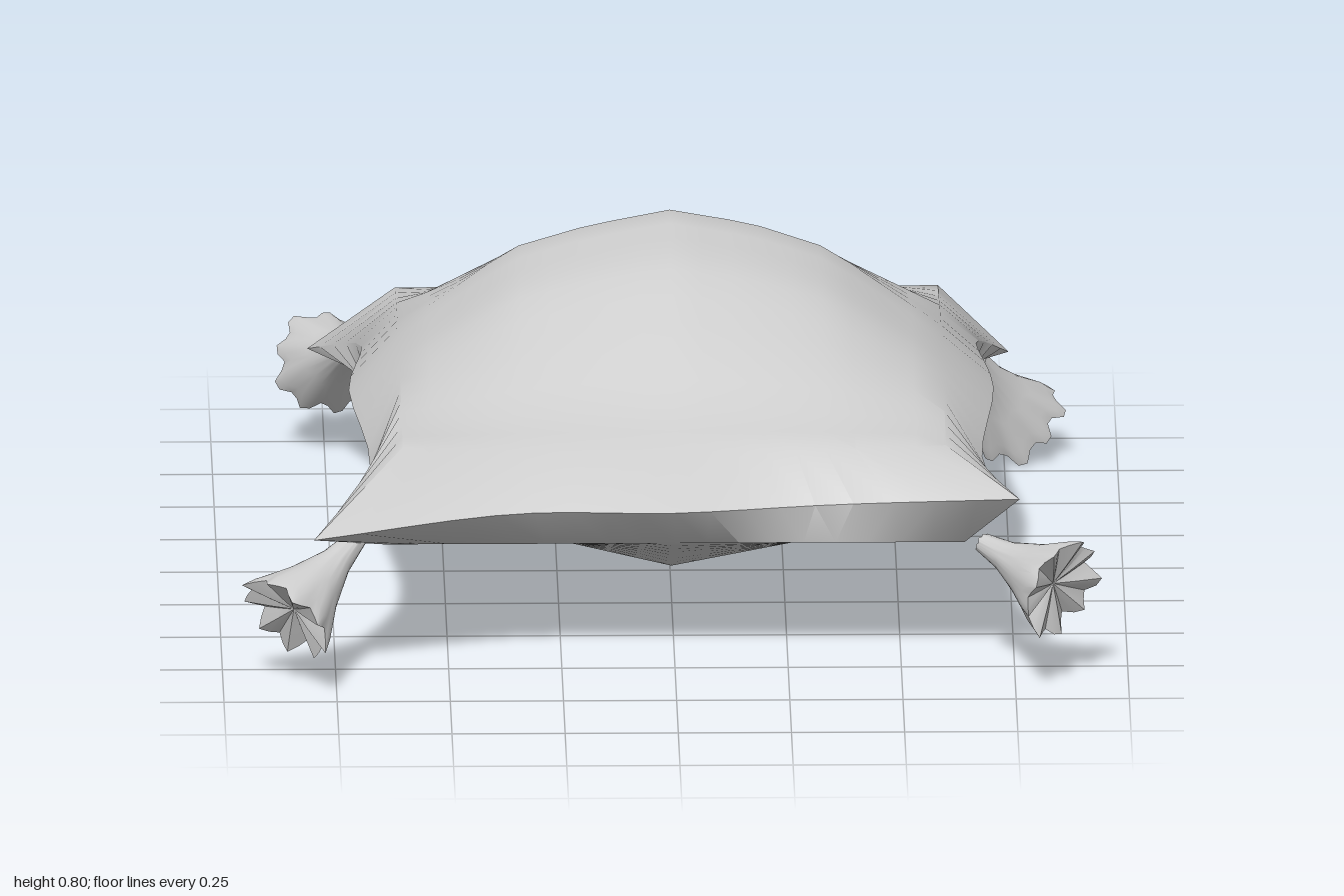
import * as THREE from 'three';
import { mergeGeometries, toCreasedNormals } from 'three/addons/utils/BufferGeometryUtils.js';

const N = 18;
const V = (x, y, z) => new THREE.Vector3(x, y, z);
const lookup = (at, values) => {
  const f = new THREE.LinearInterpolant(at, values, 1);
  return (t) => f.evaluate(t)[0];
};

// Puff of the cushion along x and z, for the top and the underside
const topX = lookup([-0.6, -0.35, -0.18, 0, 0.18, 0.35, 0.6], [0.16, 0.73, 0.89, 1, 0.9, 0.72, 0.16]);
const topZ = lookup([-0.57, -0.42, -0.3, -0.1, 0.15, 0.35, 0.53, 0.65], [0, 0.34, 0.7, 1, 0.87, 0.5, 0.1, -0.05]);
const lowX = lookup([-0.64, -0.35, 0, 0.34, 0.64], [0, 0.6, 1, 0.68, 0]);
const lowZ = lookup([-0.62, -0.3, -0.1, 0.17, 0.44, 0.72], [0, 0.92, 1, 1, 0.5, 0]);

function topPoint(u, v) {
  const x = 0.6 * u, z = 0.04 + 0.61 * v;
  return V(x, 0.485 + 0.32 * topX(x) * topZ(z), z);
}
function lowPoint(u, v) {
  const x = 0.64 * u, z = 0.05 + 0.67 * v;
  return V(x, 0.28 - 0.22 * lowX(x) * lowZ(z), z);
}

// Surface through a grid of points, rows by columns
function patch(rows, cols, point) {
  const pos = [], index = [];
  for (let i = 0; i <= rows; i++)
    for (let j = 0; j <= cols; j++) {
      pos.push(...point(i, j).toArray());
      if (i < rows && j < cols) {
        const a = i * (cols + 1) + j, b = a + cols + 1;
        index.push(a, b, b + 1, a, b + 1, a + 1);
      }
    }
  const g = new THREE.BufferGeometry();
  g.setAttribute('position', new THREE.Float32BufferAttribute(pos, 3));
  g.setIndex(index);
  return g;
}

// Pointed corner tips and the seam between them, running front, right, back, left
const FL = V(-0.8, 0.35, 0.92), FR = V(0.76, 0.42, 0.86);
const BR = V(0.76, 0.25, -0.84), BL = V(-0.79, 0.27, -0.82);
const seams = [
  [FL, V(-0.35, 0.37, 0.79), V(0, 0.37, 0.79), V(0.35, 0.37, 0.73), FR],
  [FR, V(0.685, 0.41, 0.55), V(0.715, 0.42, 0), V(0.685, 0.37, -0.52), BR],
  [BR, V(0.35, 0.36, -0.7), V(0, 0.37, -0.67), V(-0.35, 0.36, -0.7), BL],
  [BL, V(-0.68, 0.37, -0.52), V(-0.71, 0.42, 0), V(-0.675, 0.39, 0.57), FL],
].map((p) => new THREE.CatmullRomCurve3(p, false, 'centripetal'));
const edgeUV = [(t) => [t, 1], (t) => [1, -t], (t) => [-t, -1], (t) => [-1, t]];

function cushionGeometry() {
  const g = (k) => (2 * k) / N - 1;
  const parts = [
    patch(N, N, (i, j) => topPoint(g(j), g(i))),
    patch(N, N, (i, j) => lowPoint(g(j), -g(i))),
  ];
  // Side bands: top edge, seam, bottom edge
  seams.forEach((seam, k) => {
    parts.push(patch(2, N, (i, j) => {
      const uv = edgeUV[k](g(j));
      return i === 0 ? topPoint(...uv) : i === 1 ? seam.getPoint(j / N) : lowPoint(...uv);
    }));
  });
  return toCreasedNormals(mergeGeometries(parts), 0.75);
}

// Flared tassel with a pleated, closed end
function tasselGeometry(length, phase) {
  const profile = [[0, 0], [0.022, 0], [0.035, 0.3], [0.065, 0.62], [0.098, 0.88], [0.108, 1], [0.05, 0.95], [0, 0.9]];
  const g = new THREE.LatheGeometry(profile.map(([r, h]) => new THREE.Vector2(r, h * length)), 36);
  const p = g.attributes.position;
  for (let i = 0; i < p.count; i++) {
    const x = p.getX(i), y = p.getY(i), z = p.getZ(i);
    const a = Math.atan2(z, x), r = Math.hypot(x, z);
    const fold = Math.cos(9 * a + phase) + 0.5 * Math.cos(4 * a + 2 * phase);
    const s = 1 + 0.09 * fold * (y / length);
    p.setXYZ(i, x * s, y + 0.12 * r * fold, z * s);
  }
  g.deleteAttribute('normal');
  g.deleteAttribute('uv');
  return toCreasedNormals(g, 0.6);
}

export function createModel() {
  const model = new THREE.Group();
  model.name = 'tasselledCushion';
  const cloth = new THREE.MeshStandardMaterial({ color: 0xcccccc, side: THREE.DoubleSide });

  const cushion = new THREE.Mesh(cushionGeometry(), cloth);
  cushion.name = 'cushion';
  model.add(cushion);

  // Each tassel hangs outward from its corner
  const tassels = [
    ['frontRightTassel', V(-0.7, 0.31, 0.76), V(-0.86, 0.17, 0.91)],
    ['frontLeftTassel', V(0.68, 0.29, 0.76), V(0.85, 0.23, 0.91)],
    ['backRightTassel', V(-0.69, 0.29, -0.74), V(-0.75, 0.2, -0.95)],
    ['backLeftTassel', V(0.69, 0.26, -0.75), V(0.77, 0.08, -0.88)],
  ];
  tassels.forEach(([name, root, end], k) => {
    const axis = end.clone().sub(root);
    const tassel = new THREE.Mesh(tasselGeometry(axis.length(), k * 1.3), cloth);
    tassel.name = name;
    tassel.position.copy(root);
    tassel.quaternion.setFromUnitVectors(V(0, 1, 0), axis.normalize());
    model.add(tassel);
  });
  return model;
}
